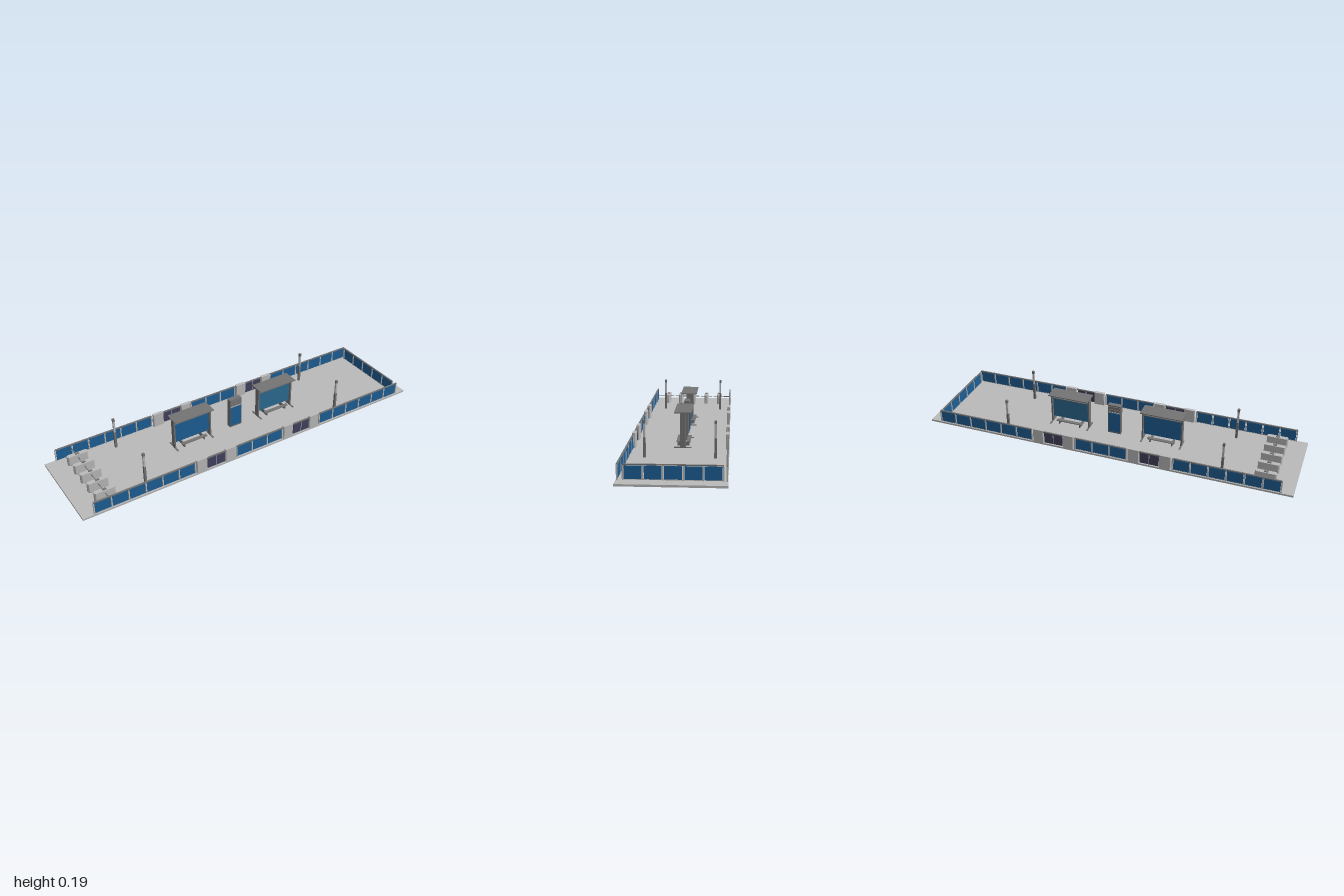
import * as THREE from 'three';

const mat = (name, color, side = THREE.FrontSide) => {
  const m = new THREE.MeshStandardMaterial({ color, side });
  m.name = name;
  return m;
};

export function createModel() {
  const light = mat('light concrete', 0xbababa);
  const dark = mat('dark metal', 0x747474);
  const blue = mat('blue panel', 0x1f5f95);
  const teal = mat('shelter glass', 0x2c6a92);
  const navy = mat('door glass', 0x41415f);

  const root = new THREE.Group();
  root.name = 'station';
  const group = (name, parent = root) => {
    const g = new THREE.Group();
    g.name = name;
    parent.add(g);
    return g;
  };
  // Box given by its limits on each axis
  const box = (parent, name, m, x0, x1, y0, y1, z0, z1) => {
    const mesh = new THREE.Mesh(new THREE.BoxGeometry(x1 - x0, y1 - y0, z1 - z0), m);
    mesh.position.set((x0 + x1) / 2, (y0 + y1) / 2, (z0 + z1) / 2);
    mesh.name = name;
    parent.add(mesh);
    return mesh;
  };
  // Upright block with chamfered plan corners
  const chamferBlock = (parent, name, m, cx, cz, w, d, y0, y1, c) => {
    const a = w / 2, b = d / 2;
    const shape = new THREE.Shape([
      [-a + c, -b], [a - c, -b], [a, -b + c], [a, b - c],
      [a - c, b], [-a + c, b], [-a, b - c], [-a, -b + c],
    ].map(([x, y]) => new THREE.Vector2(x, y)));
    const geo = new THREE.ExtrudeGeometry(shape, { depth: y1 - y0, bevelEnabled: false });
    geo.rotateX(-Math.PI / 2);
    const mesh = new THREE.Mesh(geo, m);
    mesh.position.set(cx, y0, cz);
    mesh.name = name;
    parent.add(mesh);
  };

  box(root, 'platform', light, -1, 1, 0, 0.01, -0.24, 0.24);

  // A run of fence along local x, split into equal bays
  const fence = (name, length, bays) => {
    const g = group(name);
    const h = length / 2, step = length / bays;
    box(g, 'topRail', dark, -h, h, 0.076, 0.081, -0.004, 0.004);
    box(g, 'bottomRail', light, -h, h, 0.011, 0.014, -0.002, 0.002);
    for (let i = 0; i <= bays; i++) {
      const x = -h + i * step;
      box(g, 'fencePost', light, x - 0.003, x + 0.003, 0.01, 0.077, -0.0035, 0.0035);
      if (i < bays) box(g, 'fencePanel', blue, x + 0.005, x + step - 0.005, 0.014, 0.073, -0.0015, 0.0015);
    }
    return g;
  };

  for (const s of [-1, 1]) {
    const z = s * 0.234;
    for (const [cx, len, bays] of [[-0.663, 0.55, 6], [0, 0.285, 3], [0.663, 0.55, 6]]) {
      fence('sideFence', len, bays).position.set(cx, 0, z);
    }
    // Boarding doors between pairs of thick columns
    for (const cx of [-0.265, 0.265]) {
      const g = group('boardingDoor');
      for (const k of [-1, 1]) {
        chamferBlock(g, 'doorColumn', light, cx + k * 0.085, s * 0.231, 0.062, 0.018, 0.01, 0.085, 0.004);
      }
      for (let i = 0; i < 2; i++) {
        const x = cx - 0.051 + i * 0.052;
        box(g, 'doorLeaf', navy, x, x + 0.05, 0.013, 0.073, z - 0.002, z + 0.002);
      }
      box(g, 'doorMullion', light, cx - 0.0015, cx + 0.0015, 0.01, 0.076, z - 0.003, z + 0.003);
      box(g, 'doorHeader', dark, cx - 0.055, cx + 0.055, 0.074, 0.08, z - 0.004, z + 0.004);
    }
  }
  const end = fence('endFence', 0.43, 5);
  end.rotation.y = Math.PI / 2;
  end.position.set(0.932, 0, -0.005);

  // Turnstiles with gate bars between them
  for (let i = 0; i < 5; i++) {
    const z = -0.165 + i * 0.081;
    const g = group('turnstile');
    box(g, 'turnstileBase', dark, -0.893, -0.803, 0.01, 0.014, z - 0.01, z + 0.01);
    chamferBlock(g, 'turnstileBody', light, -0.848, z, 0.11, 0.024, 0.014, 0.066, 0.006);
    box(g, 'cardReader', dark, -0.858, -0.838, 0.066, 0.069, z - 0.006, z + 0.006);
    for (const s of [-1, 1]) {
      box(g, 'gateBar', dark, -0.85, -0.846, 0.048, 0.052,
        Math.min(z + s * 0.012, z + s * 0.036), Math.max(z + s * 0.012, z + s * 0.036));
    }
  }
  for (const s of [-1, 1]) {
    box(root, 'gateSideBar', dark, -0.85, -0.846, 0.048, 0.052, s < 0 ? -0.234 : 0.195, s < 0 ? -0.2 : 0.234);
  }

  // Lamp poles
  for (const x of [-0.63, 0.555]) for (const z of [-0.176, 0.159]) {
    const g = group('lampPole');
    box(g, 'poleBase', dark, x - 0.006, x + 0.006, 0.01, 0.108, z - 0.006, z + 0.006);
    box(g, 'poleLamp', light, x - 0.005, x + 0.005, 0.108, 0.175, z - 0.005, z + 0.005);
    box(g, 'poleCap', dark, x - 0.006, x + 0.006, 0.175, 0.19, z - 0.006, z + 0.006);
  }

  // Shelters with a glass screen and a bench on each face
  const cz = -0.01;
  for (const [cx, glass] of [[-0.267, blue], [0.255, teal]]) {
    const g = group('shelter');
    box(g, 'shelterRoof', dark, cx - 0.114, cx + 0.114, 0.185, 0.19, cz - 0.043, cz + 0.043);
    box(g, 'shelterScreen', glass, cx - 0.104, cx + 0.104, 0.04, 0.152, cz - 0.003, cz + 0.003);
    box(g, 'screenRail', dark, cx - 0.104, cx + 0.104, 0.151, 0.155, cz - 0.004, cz + 0.004);
    for (const k of [-1, 1]) {
      const x = cx + k * 0.107;
      box(g, 'shelterPost', dark, x - 0.004, x + 0.004, 0.01, 0.185, cz - 0.014, cz + 0.014);
      box(g, 'shelterFoot', dark, x - 0.004, x + 0.004, 0.01, 0.014, cz - 0.043, cz + 0.043);
      box(g, 'benchSeat', dark, cx - 0.075, cx + 0.075, 0.03, 0.034, cz + k * 0.025 - 0.01, cz + k * 0.025 + 0.01);
      const bx = cx + k * 0.06;
      box(g, 'benchLeg', dark, bx - 0.003, bx + 0.003, 0.01, 0.03, cz - 0.03, cz + 0.03);
    }
  }

  // Information kiosk with blue faces and a dark head
  const k = group('kiosk');
  box(k, 'kioskBody', dark, -0.036, 0.036, 0.01, 0.183, cz - 0.013, cz + 0.013);
  for (const s of [-1, 1]) {
    const z = cz + s * 0.014;
    box(k, 'kioskPanel', blue, -0.033, 0.033, 0.02, 0.135, z - 0.0015, z + 0.0015);
    box(k, 'kioskTrim', light, -0.033, 0.033, 0.139, 0.142, z - 0.0015, z + 0.0015);
    box(k, 'kioskSign', dark, -0.033, 0.033, 0.147, 0.158, z - 0.003, z + 0.003);
    box(k, 'kioskSign', dark, -0.033, 0.033, 0.163, 0.176, z - 0.003, z + 0.003);
  }
  return root;
}
